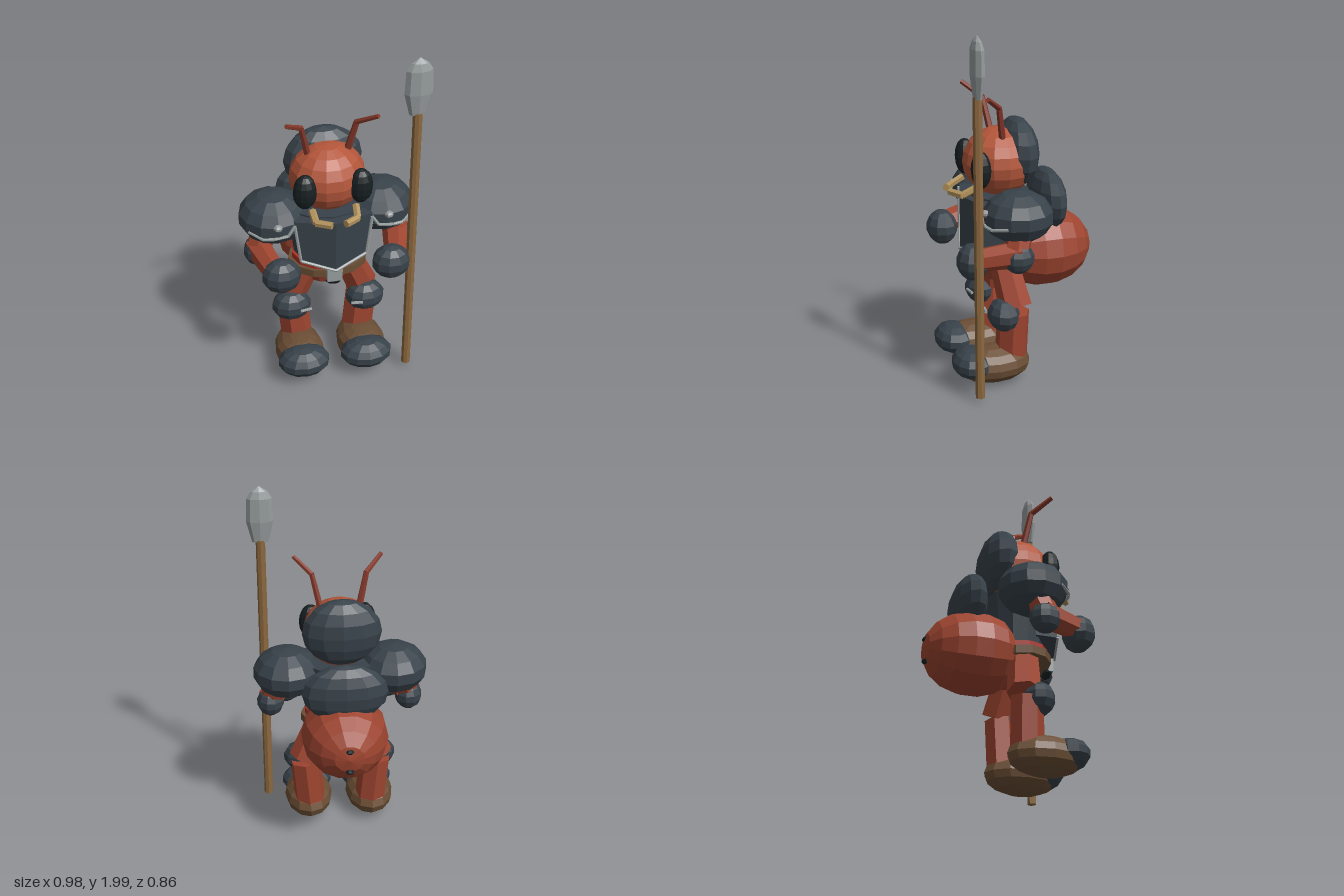
import * as THREE from 'three';

const mat = (color) => new THREE.MeshStandardMaterial({ color, flatShading: true });
const M = {
  skin: mat(0x9e4530), face: mat(0xb3563a), feeler: mat(0x85382a), plate: mat(0x38424a),
  black: mat(0x182022), horn: mat(0xb0905a), leather: mat(0x6b4e35), wood: mat(0x8c683f),
  metal: mat(0x969c9c), sash: mat(0xae3026),
};

export function createModel() {
  const root = new THREE.Group();
  const add = (name, geo, material, parent = root) => {
    const m = new THREE.Mesh(geo, material);
    m.name = name;
    parent.add(m);
    return m;
  };
  // faceted ellipsoid
  const ball = (name, c, r, material, w = 12, h = 8, rotX = 0, parent = root) => {
    const g = new THREE.SphereGeometry(1, w, h);
    g.rotateX(rotX).scale(...r).translate(...c);
    return add(name, g, material, parent);
  };
  // tapered limb between two points
  const limb = (name, a, b, ra, rb, sides, material, parent = root) => {
    const A = new THREE.Vector3(...a), B = new THREE.Vector3(...b), d = B.clone().sub(A);
    const m = add(name, new THREE.CylinderGeometry(rb, ra, d.length(), sides), material, parent);
    m.position.copy(A).add(B).multiplyScalar(0.5);
    m.quaternion.setFromUnitVectors(new THREE.Vector3(0, 1, 0), d.normalize());
    return m;
  };
  // chain of limbs through a list of points
  const chain = (name, pts, r, sides, material, parent) => {
    for (let i = 1; i < pts.length; i++) limb(name, pts[i - 1], pts[i], r, r, sides, material, parent);
  };
  // elliptical band around the body
  const band = (name, y0, y1, rx, rz, z, material, k = 1) => {
    const g = new THREE.CylinderGeometry(1, k, y1 - y0, 12);
    g.scale(rx, 1, rz).translate(0, (y0 + y1) / 2, z);
    return add(name, g, material);
  };

  // Head and helmet
  ball('head', [0, 1.23, 0.1], [0.21, 0.19, 0.2], M.face, 14, 10);
  ball('helmet', [0, 1.275, -0.005], [0.22, 0.192, 0.108], M.plate, 12, 8);

  // Body
  band('torso', 0.74, 1.06, 0.22, 0.17, 0.1, M.plate, 0.85);
  band('sash', 0.7, 0.75, 0.2, 0.16, 0.11, M.sash);
  band('belt', 0.67, 0.715, 0.225, 0.17, 0.115, M.leather);
  band('pelvis', 0.56, 0.7, 0.18, 0.13, 0.1, M.skin, 0.6);
  ball('abdomen', [0, 0.712, -0.15], [0.243, 0.23, 0.28], M.skin, 14, 9, Math.PI / 2);
  ball('backShell', [0, 0.99, -0.18], [0.237, 0.172, 0.092], M.plate, 12, 8);
  for (const y of [0.76, 0.635]) ball('abdomenSpot', [0, y, -0.415], [0.025, 0.015, 0.018], M.black, 6, 4);

  // Belt buckle
  const buckle = new THREE.BoxGeometry(0.085, 0.075, 0.03);
  add('buckle', buckle.translate(0, 0.695, 0.292), M.metal);
  ball('buckleTab', [0, 0.65, 0.28], [0.05, 0.025, 0.025], M.black, 8, 4);

  // Spear
  limb('spearShaft', [0.415, 0.035, 0.345], [0.415, 1.69, 0.345], 0.026, 0.026, 8, M.wood);
  const profile = [[0, 1.675], [0.045, 1.68], [0.075, 1.8], [0.07, 1.93], [0.045, 1.97], [0, 2]];
  const tip = new THREE.LatheGeometry(profile.map(([x, y]) => new THREE.Vector2(x, y)), 8);
  add('spearHead', tip.scale(1, 1, 0.46), M.metal).position.set(0.415, 0, 0.345);

  // Mirrored parts: s = 1 is the left side, s = -1 the right
  for (const s of [1, -1]) {
    const side = new THREE.Group();
    side.name = s > 0 ? 'leftSide' : 'rightSide';
    root.add(side);
    const p = (x, y, z) => [s * x, y, z];
    const orb = (name, c, r, material, w = 10, h = 7) => ball(name, p(...c), r, material, w, h, 0, side);
    const bar = (name, a, b, ra, rb, n, material) => limb(name, p(...a), p(...b), ra, rb, n, material, side);

    // Face
    orb('eye', [0.152, 1.227, 0.248], [0.066, 0.102, 0.055], M.black, 12, 8);
    bar('antennaBase', [0.105, 1.36, 0.11], [0.15, 1.56, 0.145], 0.02, 0.016, 6, M.feeler);
    bar('antennaTip', [0.147, 1.555, 0.143], [0.242, 1.628, 0.235], 0.016, 0.013, 6, M.feeler);
    chain('mandible', [p(0.12, 1.12, 0.27), p(0.113, 1.085, 0.34), p(0.037, 1.09, 0.39)], 0.021, 6, M.horn, side);

    // Half of the ridged breastplate
    const half = new THREE.Shape([[0, 1.05], [0.215, 1.05], [0.185, 0.795], [0, 0.74]]
      .map(([x, y]) => new THREE.Vector2(s * x, y)));
    const plate = new THREE.ExtrudeGeometry(half, { depth: 0.12, bevelEnabled: false });
    const pos = plate.attributes.position;
    for (let i = 0; i < pos.count; i++) pos.setZ(i, pos.getZ(i) + 0.205 - Math.abs(pos.getX(i)) * 0.3);
    plate.computeVertexNormals();
    add('breastplate', plate, M.plate, side);

    // Metal trim along breastplate and shoulder
    chain('trim', [p(0, 0.745, 0.328), p(0.183, 0.8, 0.275), p(0.213, 1.03, 0.268), p(0.25, 0.972, 0.27),
      p(0.33, 0.97, 0.28), p(0.385, 0.965, 0.262), p(0.45, 0.98, 0.195)], 0.009, 6, M.metal, side);

    // Arm
    orb('shoulderPad', [0.3, 1.002, 0.09], [0.192, 0.142, 0.192], M.plate, 12, 7);
    orb('shoulderStud', [0.305, 1.035, 0.275], [0.026, 0.02, 0.024], M.metal, 6, 5);
    bar('upperArm', [0.33, 1, 0.08], [0.39, 0.82, 0.13], 0.075, 0.07, 7, M.skin);
    bar('forearm', [0.395, 0.825, 0.1], [0.325, 0.785, 0.37], 0.075, 0.06, 7, M.skin);
    orb('elbowPad', [0.395, 0.8, 0.12], [0.078, 0.085, 0.085], M.plate);
    orb('hand', [0.305, 0.775, 0.345], [0.108, 0.1, 0.088], M.plate);

    // Leg
    bar('thigh', [0.1, 0.7, 0.11], [0.21, 0.44, 0.07], 0.08, 0.094, 7, M.skin);
    orb('kneePad', [0.215, 0.41, 0.145], [0.113, 0.092, 0.088], M.plate);
    bar('kneeStud', [0.115, 0.42, 0.225], [0.18, 0.42, 0.235], 0.009, 0.009, 6, M.metal);
    bar('shin', [0.205, 0.42, 0.085], [0.18, 0.15, 0.09], 0.09, 0.092, 7, M.skin);
    orb('boot', [0.182, 0.115, 0.195], [0.14, 0.107, 0.212], M.leather, 12, 8);
    orb('toeCap', [0.182, 0.135, 0.32], [0.15, 0.085, 0.112], M.plate, 12, 7);
  }
  return root;
}
